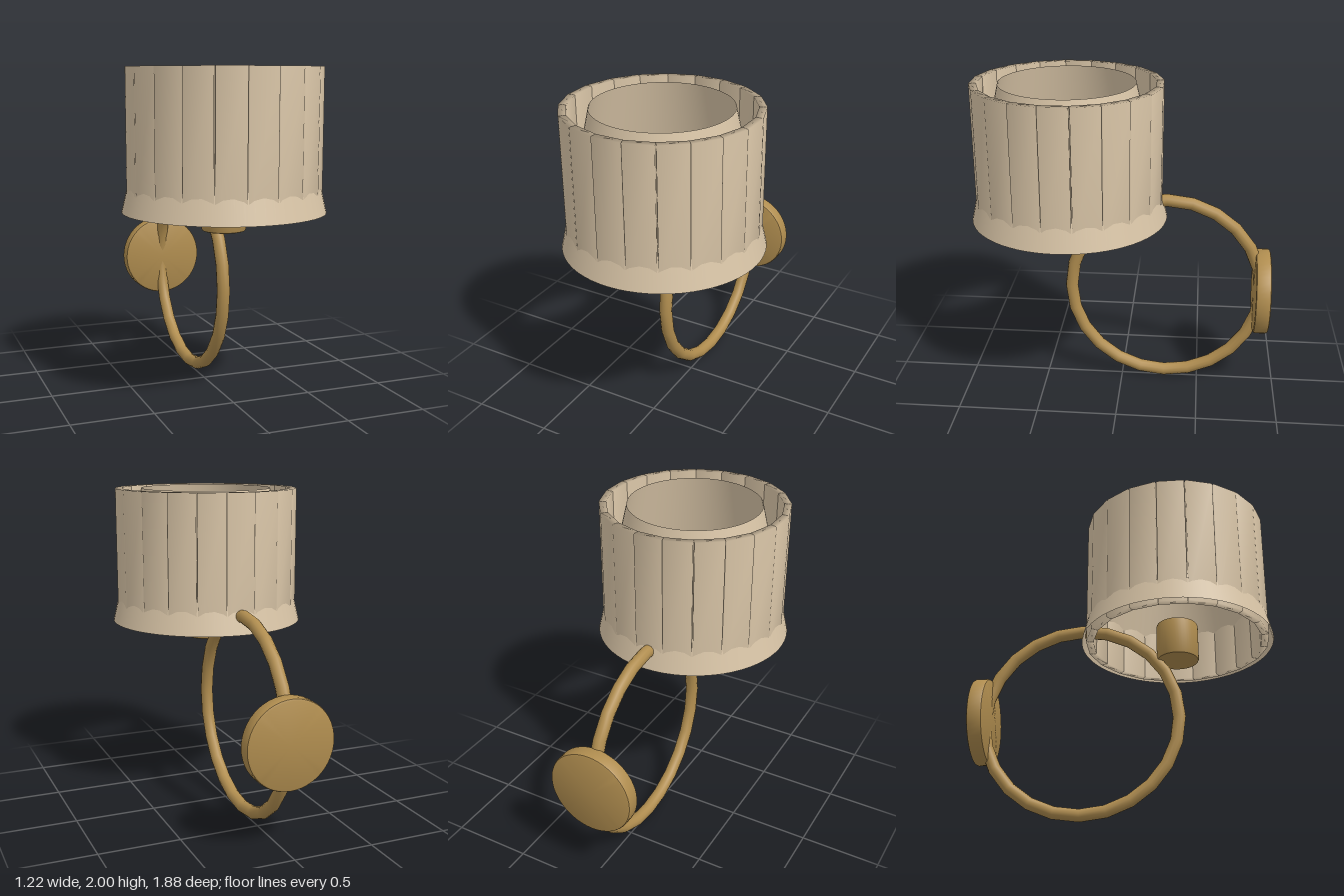
import * as THREE from 'three';
import { mergeVertices, toCreasedNormals } from 'three/addons/utils/BufferGeometryUtils.js';

const SHADE_Z = 0.33, SHADE_BOTTOM = 1.15, SHADE_TOP = 2;
const PLEATS = 20;

export function createModel() {
  const model = new THREE.Group();
  model.name = 'wallLamp';

  const brass = new THREE.MeshStandardMaterial({ name: 'brass', color: 0xb08d4f });
  const linen = new THREE.MeshStandardMaterial({ name: 'linen', color: 0xd9c5a7, side: THREE.DoubleSide });

  const add = (parent, name, geometry, material, x = 0, y = 0, z = 0) => {
    const mesh = new THREE.Mesh(geometry, material);
    mesh.name = name;
    mesh.position.set(x, y, z);
    parent.add(mesh);
    return mesh;
  };

  // Solid disc standing on y = 0 with small bevelled edges
  const bevelledDisc = (radius, height, bevel) => toCreasedNormals(
    new THREE.LatheGeometry([
      [0, 0], [radius - bevel, 0], [radius - bevel * 0.3, bevel * 0.3], [radius, bevel],
      [radius, height - bevel], [radius - bevel * 0.3, height - bevel * 0.3],
      [radius - bevel, height], [0, height],
    ].map(([x, y]) => new THREE.Vector2(x, y)), 48), 0.6);

  // Wall plate and ring arm
  const plate = add(model, 'wallPlate', bevelledDisc(0.272, 0.095, 0.015), brass, 0, 0.66, -0.94);
  plate.rotation.x = Math.PI / 2;
  const ring = add(model, 'ringArm', new THREE.TorusGeometry(0.61, 0.04, 12, 24), brass, 0, 0.655, -0.28);
  ring.rotation.y = Math.PI / 2;

  // Bulb socket
  add(model, 'socket', bevelledDisc(0.133, 0.25, 0.012), brass, 0, 1.03, SHADE_Z);

  // Lampshade: tapered liner inside a ring of upright pleats
  const shade = new THREE.Group();
  shade.name = 'lampshade';
  shade.position.set(0, (SHADE_BOTTOM + SHADE_TOP) / 2, SHADE_Z);
  model.add(shade);

  const height = SHADE_TOP - SHADE_BOTTOM;
  add(shade, 'shadeLiner', new THREE.CylinderGeometry(0.413, 0.61, height, 64, 1, true), linen);

  // Softly shaded pleat with corner normals shared between its faces
  let pleat = new THREE.BoxGeometry(0.174, height, 0.045);
  pleat.deleteAttribute('normal');
  pleat.deleteAttribute('uv');
  pleat = mergeVertices(pleat);
  pleat.computeVertexNormals();
  pleat.translate(0, 0, 0.5535);
  for (let i = 0; i < PLEATS; i++) {
    add(shade, 'pleat', pleat, linen).rotation.y = (i / PLEATS) * Math.PI * 2;
  }

  return model;
}
